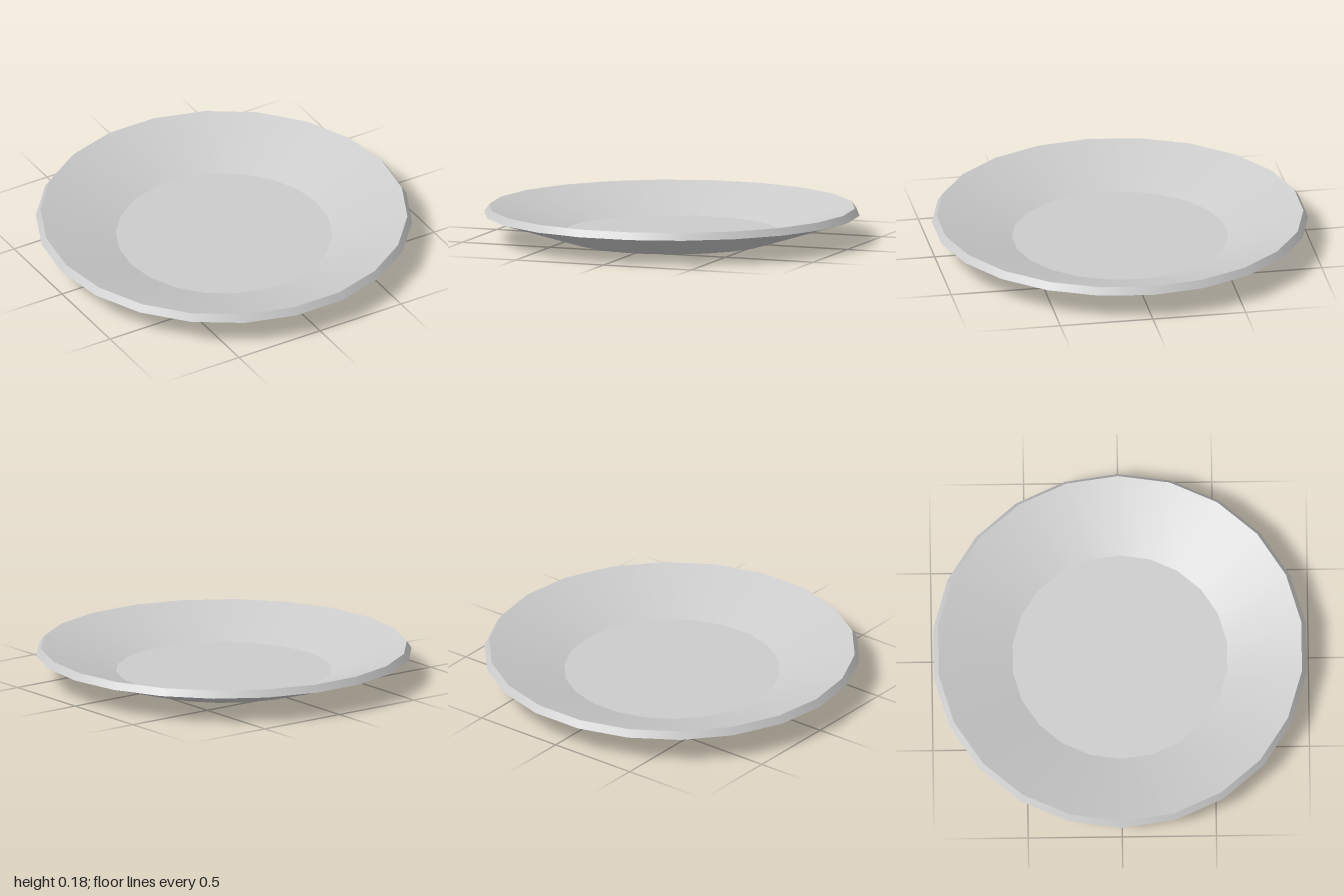
import * as THREE from 'three';

const SIDES = 22;

// One smooth ring of the plate; separate rings keep the edges between them sharp
function ring(name, r0, y0, r1, y1, material) {
  const profile = [new THREE.Vector2(r0, y0), new THREE.Vector2(r1, y1)];
  const mesh = new THREE.Mesh(new THREE.LatheGeometry(profile, SIDES, Math.PI / 2), material);
  mesh.name = name;
  return mesh;
}

// Flat disc facing up (dir = 1) or down (dir = -1)
function disc(name, radius, y, dir, material) {
  const geometry = new THREE.CircleGeometry(radius, SIDES).rotateX(-dir * Math.PI / 2);
  const mesh = new THREE.Mesh(geometry, material);
  mesh.name = name;
  mesh.position.y = y;
  return mesh;
}

export function createModel() {
  const material = new THREE.MeshStandardMaterial({ color: 0xcccccc });
  const plate = new THREE.Group();
  plate.name = 'plate';

  plate.add(
    disc('base', 0.545, 0, -1, material),
    ring('underside', 0.545, 0, 1, 0.14, material),
    ring('rim', 1, 0.14, 0.975, 0.178, material),
    ring('innerSlope', 0.975, 0.178, 0.575, 0.045, material),
    disc('well', 0.575, 0.045, 1, material),
  );
  return plate;
}
